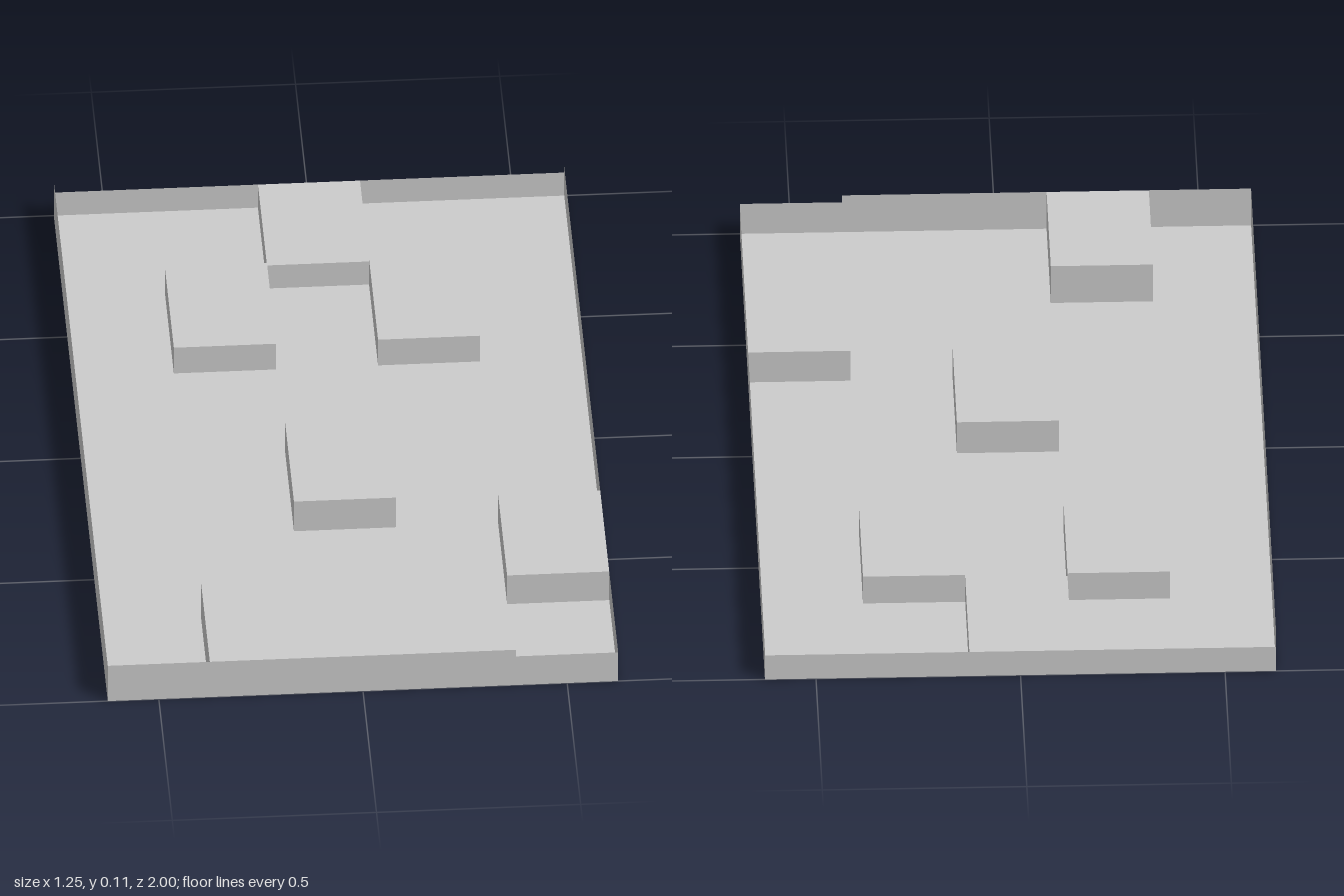
import * as THREE from 'three';

const COLS = 5, ROWS = 6, W = 1.25, D = 2;
const CW = W / COLS, CD = D / ROWS;

// Raised cells: column, row (from the back), height
const BLOCKS = [
  [2, 0, 0.07], [1, 1, 0.078], [3, 1, 0.078],
  [2, 3, 0.09], [4, 4, 0.087], [1, 5, 0.107],
];

export function createModel() {
  const model = new THREE.Group();
  const material = new THREE.MeshStandardMaterial({ color: 0xcccccc, flatShading: true, side: THREE.DoubleSide });
  const xAt = (c) => -W / 2 + c * CW;
  const zAt = (r) => -D / 2 + r * CD;

  // Thin horizontal sheet over a rectangle
  function slab(parent, name, x0, x1, z0, z1, y) {
    const geometry = new THREE.PlaneGeometry(x1 - x0, z1 - z0).rotateX(-Math.PI / 2);
    geometry.translate((x0 + x1) / 2, y, (z0 + z1) / 2);
    const mesh = new THREE.Mesh(geometry, material);
    mesh.name = name;
    parent.add(mesh);
  }

  // Thin upright sheet; its front is on the right of the run from start to end
  function wall(parent, name, x0, z0, x1, z1, h) {
    const geometry = new THREE.PlaneGeometry(Math.hypot(x1 - x0, z1 - z0), h);
    geometry.rotateY(Math.atan2(z0 - z1, x1 - x0));
    geometry.translate((x0 + x1) / 2, h / 2, (z0 + z1) / 2);
    const mesh = new THREE.Mesh(geometry, material);
    mesh.name = name;
    parent.add(mesh);
  }

  // Floor cells, left open beneath the blocks
  const floor = new THREE.Group();
  floor.name = 'floor';
  for (let c = 0; c < COLS; c++) {
    for (let r = 0; r < ROWS; r++) {
      if (BLOCKS.some(([bc, br]) => bc === c && br === r)) continue;
      slab(floor, 'floorCell', xAt(c), xAt(c + 1), zAt(r), zAt(r + 1), 0);
    }
  }
  model.add(floor);

  // Hollow blocks; sides on the rim are closed by the rim itself
  for (const [c, r, h] of BLOCKS) {
    const block = new THREE.Group();
    block.name = 'raisedBlock';
    const x0 = xAt(c), x1 = xAt(c + 1), z0 = zAt(r), z1 = zAt(r + 1);
    slab(block, 'blockTop', x0, x1, z0, z1, h);
    if (r < ROWS - 1) wall(block, 'blockFront', x0, z1, x1, z1, h);
    if (c < COLS - 1) wall(block, 'blockLeft', x1, z1, x1, z0, h);
    if (r > 0) wall(block, 'blockBack', x1, z0, x0, z0, h);
    if (c > 0) wall(block, 'blockRight', x0, z0, x0, z1, h);
    model.add(block);
  }

  // Rim, with a lower stretch at the left of the front
  const rim = new THREE.Group();
  rim.name = 'rim';
  const X = W / 2, Z = D / 2, step = xAt(4);
  wall(rim, 'frontRim', -X, Z, step, Z, 0.107);
  wall(rim, 'frontRimLow', step, Z, X, Z, 0.087);
  wall(rim, 'leftRim', X, Z, X, -Z, 0.087);
  wall(rim, 'backRim', X, -Z, -X, -Z, 0.07);
  wall(rim, 'rightRim', -X, -Z, -X, Z, 0.107);
  model.add(rim);

  return model;
}
